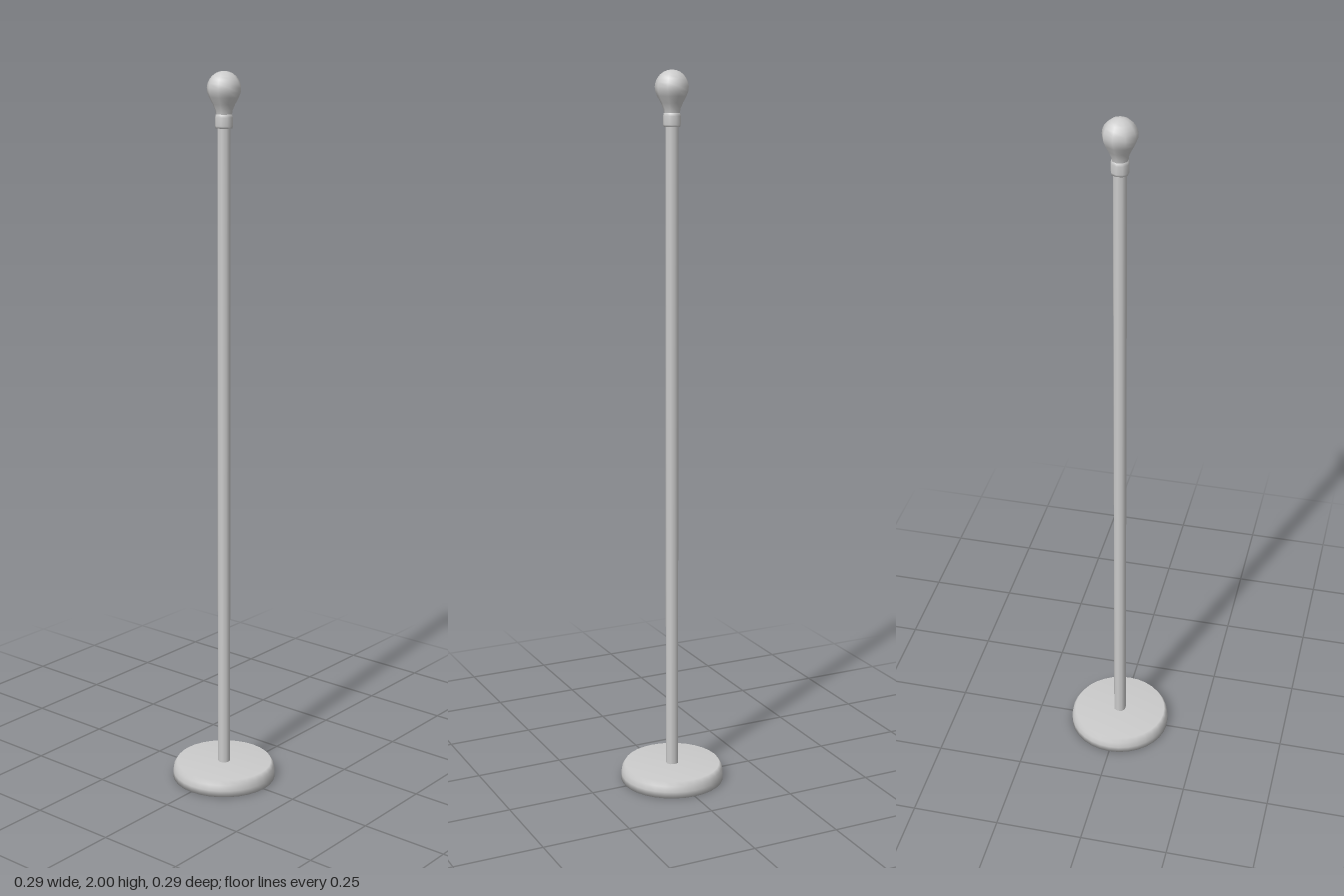
import * as THREE from 'three';

const material = new THREE.MeshStandardMaterial({ color: 0xcccccc, side: THREE.DoubleSide });

// Turned part from [radius, height] pairs, with its first corner on +x.
function turned(name, profile, sides) {
  const points = profile.map(([r, y]) => new THREE.Vector2(r, y));
  const mesh = new THREE.Mesh(new THREE.LatheGeometry(points, sides, Math.PI / 2), material);
  mesh.name = name;
  return mesh;
}

export function createModel() {
  const group = new THREE.Group();
  group.name = 'standingPole';

  // Round weighted foot with a softened upper rim
  group.add(turned('base', [
    [0, 0], [0.147, 0], [0.147, 0.018], [0.144, 0.034], [0.136, 0.046], [0, 0.046],
  ], 32));

  // Slender upright
  const pole = new THREE.Mesh(new THREE.CylinderGeometry(0.018, 0.018, 1.83, 9, 1, true, Math.PI / 2), material);
  pole.name = 'pole';
  pole.position.y = 0.04 + 1.83 / 2;
  group.add(pole);

  // Collar joining the upright to the knob
  group.add(turned('collar', [
    [0.018, 1.852], [0.023, 1.852], [0.024, 1.858], [0.024, 1.88], [0.022, 1.888], [0.018, 1.89],
  ], 9));

  // Bulb-shaped knob: tapered neck running into a rounded crown
  const knob = [[0.021, 1.885], [0.023, 1.898], [0.03, 1.914], [0.04, 1.932]];
  const crownSteps = 7;
  for (let i = 0; i <= crownSteps; i++) {
    const a = -0.2 + (Math.PI / 2 + 0.2) * (i / crownSteps);
    knob.push([Math.max(0, 0.046 * Math.cos(a)), 1.954 + 0.046 * Math.sin(a)]);
  }
  group.add(turned('knob', knob, 9));

  return group;
}
